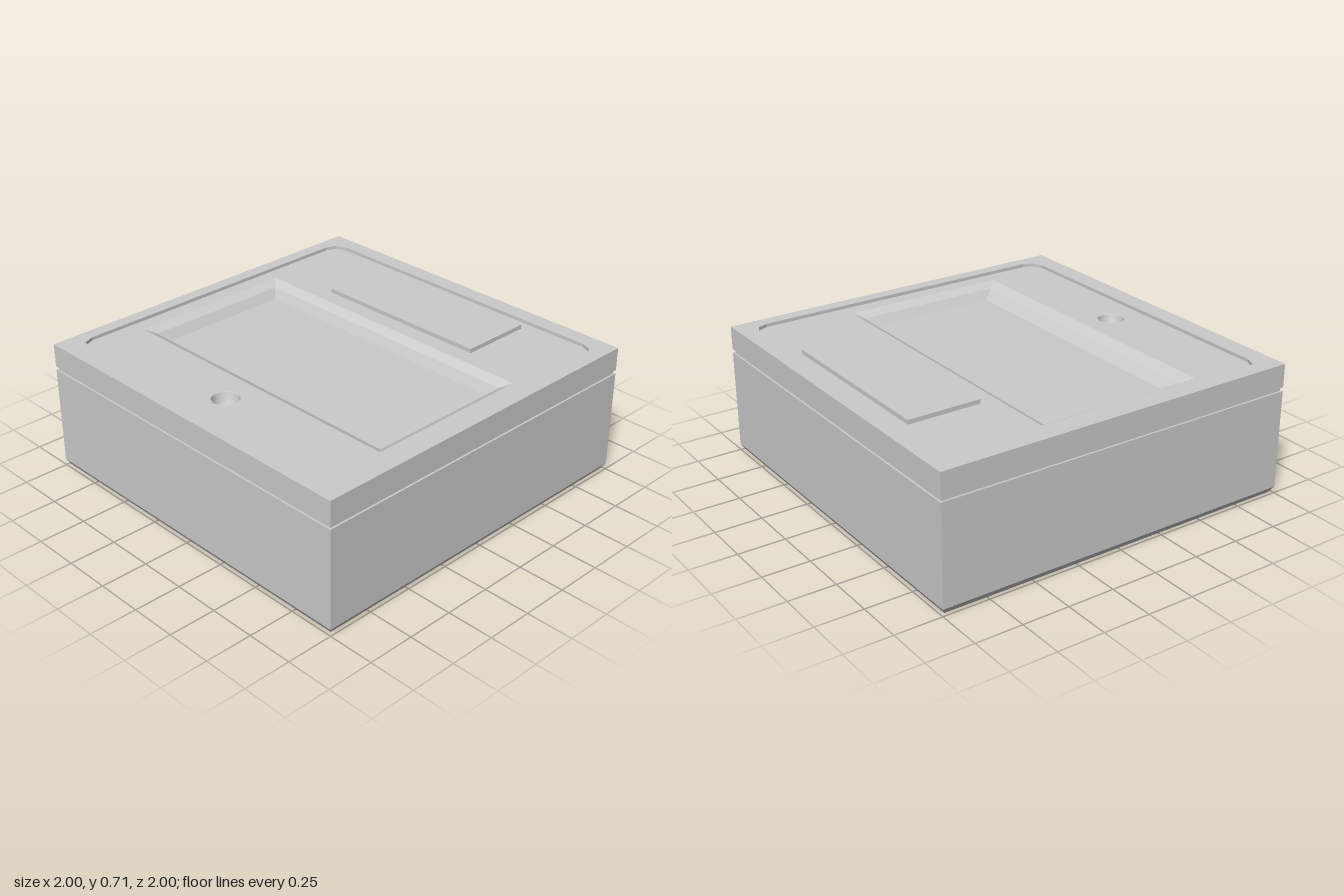
import * as THREE from 'three';

const material = new THREE.MeshStandardMaterial({ color: 0xcccccc, side: THREE.DoubleSide, flatShading: true });
const smooth = new THREE.MeshStandardMaterial({ color: 0xcccccc, side: THREE.DoubleSide });

// Plan outlines use 2D points (x, -z), counter-clockwise seen from above
const rect = (hx, back, front) => [[-hx, -front], [hx, -front], [hx, -back], [-hx, -back]]
  .map(([x, y]) => new THREE.Vector2(x, y));

// Rectangle with corners rounded in two facets
function roundedRect(hx, back, front, r) {
  const centres = [[hx - r, -back - r], [-hx + r, -back - r], [-hx + r, -front + r], [hx - r, -front + r]];
  return centres.flatMap(([cx, cy], q) => [0, 1, 2].map(i => {
    const a = (q + i / 2) * Math.PI / 2;
    return new THREE.Vector2(cx + r * Math.cos(a), cy + r * Math.sin(a));
  }));
}

function polygon(x, z, r, n) {
  return Array.from({ length: n }, (_, i) => {
    const a = i / n * Math.PI * 2;
    return new THREE.Vector2(x + r * Math.cos(a), -z + r * Math.sin(a));
  });
}

// Walls joining a list of [outline, height] rings
function loft(rings) {
  const pos = [];
  const add = ([pts, y], i) => { const p = pts[i % pts.length]; pos.push(p.x, y, -p.y); };
  for (let k = 0; k < rings.length - 1; k++) {
    const a = rings[k], b = rings[k + 1];
    for (let i = 0; i < a[0].length; i++) {
      add(a, i); add(a, i + 1); add(b, i + 1);
      add(a, i); add(b, i + 1); add(b, i);
    }
  }
  const g = new THREE.BufferGeometry();
  g.setAttribute('position', new THREE.Float32BufferAttribute(pos, 3));
  g.computeVertexNormals();
  return g;
}

// Flat horizontal sheet with holes
function sheet(outline, y, holes = []) {
  const shape = new THREE.Shape(outline);
  holes.forEach(h => shape.holes.push(new THREE.Path(h)));
  return new THREE.ShapeGeometry(shape).rotateX(-Math.PI / 2).translate(0, y, 0);
}

export function createModel() {
  const model = new THREE.Group();
  const part = (name, geometry, mat = material) => {
    const mesh = new THREE.Mesh(geometry, mat);
    mesh.name = name;
    model.add(mesh);
    return mesh;
  };
  const square = h => rect(h, -h, h);
  const TOP = 0.71, DECK = 0.692, FLOOR = 0.615;

  // Open-bottomed shell: chamfered foot, sides, shadow groove and upper band
  part('bodyShell', loft([
    [square(0.978), 0], [square(1), 0.035], [square(1), 0.565], [square(0.99), 0.565],
    [square(0.99), 0.585], [square(1), 0.585], [square(1), TOP],
  ]));

  // Raised rim around the sunken deck
  const deckEdge = roundedRect(0.93, -0.91, 0.895, 0.08);
  part('rim', sheet(square(1), TOP, [deckEdge]));
  part('rimInnerWall', loft([[deckEdge, TOP], [deckEdge, DECK]]));

  // Deck with openings for basin and drain
  const basinEdge = rect(0.85, -0.365, 0.55);
  const basinStep = rect(0.803, -0.318, 0.5);
  const basinBase = rect(0.77, -0.29, 0.45);
  part('deck', sheet(deckEdge, DECK, [basinEdge, polygon(0, 0.72, 0.075, 8)]));

  // Basin with two-stage sloping sides
  part('basinSides', loft([[basinEdge, DECK], [basinStep, 0.665], [basinBase, FLOOR]]));
  part('basinFloor', sheet(basinBase, FLOOR));

  // Round drain cup hanging beneath the deck
  const cup = [[0, 0.62], [0.045, 0.623], [0.064, 0.635], [0.066, 0.685], [0.078, 0.69]]
    .map(([r, y]) => new THREE.Vector2(r, y));
  part('drainCup', new THREE.LatheGeometry(cup, 24), smooth).position.z = 0.72;

  // Raised plate at the back of the deck
  const plate = part('backPlate', new THREE.BoxGeometry(1, 0.023, 0.395));
  plate.position.set(0, DECK + 0.0115, -0.6525);

  return model;
}
